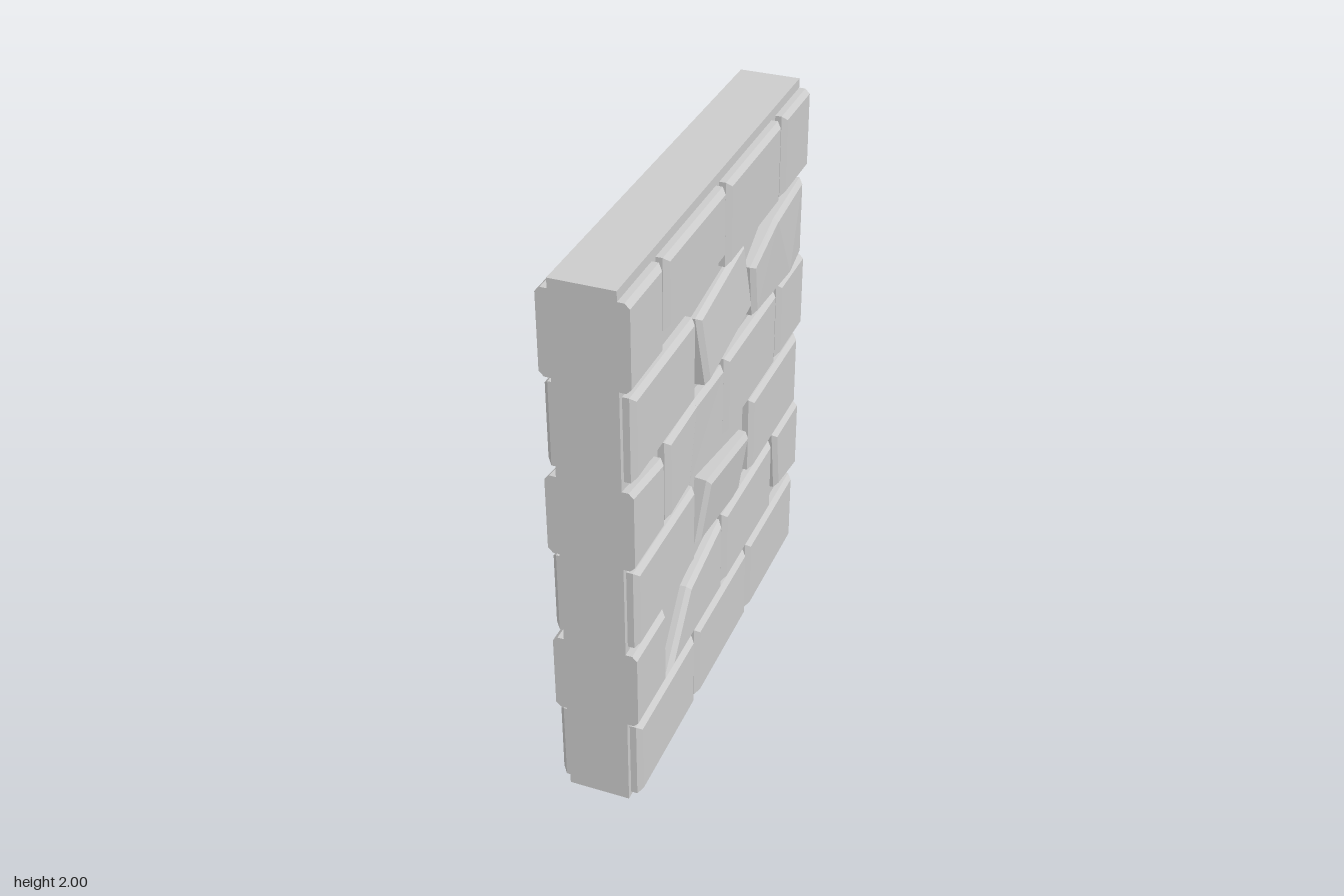
import * as THREE from 'three';

const END = 0.82;      // half length of the wall
const FACE = 0.15;     // half thickness over the brick faces
const BEVEL = 0.017;

const material = new THREE.MeshStandardMaterial({ color: 0xcccccc, flatShading: true });

// Corners [z, y] of a rectangle, counter-clockwise seen from +x
const rect = (z0, z1, y0, y1) => [[z0, y0], [z1, y0], [z1, y1], [z0, y1]];

// Moves each edge inward by the bevel, except cracks and edges flush with the wall end
function inset(pts, crack) {
  const n = pts.length;
  const edges = pts.map(([z, y], i) => {
    const [z2, y2] = pts[(i + 1) % n];
    const len = Math.hypot(z2 - z, y2 - y);
    const flush = Math.abs(z) === END && z === z2;
    return { nz: (y2 - y) / len, ny: (z - z2) / len, d: flush || i === crack ? 0 : BEVEL };
  });
  return pts.map(([z, y], i) => {
    const a = edges[(i + n - 1) % n], b = edges[i];
    const det = a.nz * b.ny - a.ny * b.nz;
    return [z + (a.d * b.ny - b.d * a.ny) / det, y + (a.nz * b.d - b.nz * a.d) / det];
  });
}

// Convex block running through the wall, bevelled on both faces.
// The corners of a crack edge can be pushed outward by lift.
function brickGeometry(pts, crack = -1, lift = 0) {
  const n = pts.length;
  const inner = inset(pts, crack);
  const onCrack = i => crack >= 0 && (i === crack || i === (crack + 1) % n);
  const ring = (outline, x) => outline.map(([z, y], i) =>
    [x + Math.sign(x) * (onCrack(i) ? lift : 0), y, z]);
  const rings = [
    ring(inner, -FACE), ring(pts, BEVEL - FACE), ring(pts, FACE - BEVEL), ring(inner, FACE),
  ];
  const pos = [];
  const tri = (a, b, c) => pos.push(...a, ...b, ...c);
  for (let k = 0; k < 3; k++) {
    for (let i = 0; i < n; i++) {
      const j = (i + 1) % n, p = rings[k], q = rings[k + 1];
      tri(p[i], p[j], q[j]);
      tri(p[i], q[j], q[i]);
    }
  }
  for (let i = 1; i < n - 1; i++) {
    tri(rings[3][0], rings[3][i], rings[3][i + 1]);
    tri(rings[0][0], rings[0][i + 1], rings[0][i]);
  }
  const g = new THREE.BufferGeometry();
  g.setAttribute('position', new THREE.Float32BufferAttribute(pos, 3));
  g.computeVertexNormals();
  return g;
}

export function createModel() {
  const wall = new THREE.Group();
  wall.name = 'brickWall';

  const add = (name, geometry) => {
    const mesh = new THREE.Mesh(geometry, material);
    mesh.name = name;
    wall.add(mesh);
    return mesh;
  };

  // Mortar slab
  add('mortarCore', new THREE.BoxGeometry(0.22, 2, END * 2)).position.y = 1;

  // Whole bricks: [z from, z to, y from, y to]
  const whole = [
    // bottom course
    [0.8, 0.29, 0.015, 0.32], [0.26, -0.25, 0.015, 0.32], [-0.28, -0.79, 0.015, 0.32],
    // second course
    [END, 0.56, 0.345, 0.648], [-0.01, -0.52, 0.345, 0.648],
    // third course
    [0.8, 0.29, 0.67, 0.975], [-0.28, -0.79, 0.67, 0.975],
    // fourth course
    [-0.01, -0.52, 1.0, 1.305], [-0.56, -END, 1.0, 1.305],
    // fifth course
    [0.8, 0.29, 1.325, 1.632],
    // top course
    [END, 0.56, 1.66, 1.965], [0.53, 0.02, 1.715, 1.965],
    [-0.01, -0.52, 1.66, 1.965], [-0.56, -END, 1.66, 1.965],
  ];
  for (const b of whole) add('brick', brickGeometry(rect(...b)));

  // Bricks with broken corners
  add('brokenBrick', brickGeometry([[0.53, 0.345], [0.02, 0.345], [0.02, 0.65], [0.34, 0.58]]));
  add('slantedHalfBrick', brickGeometry([[-0.6, 0.378], [-END, 0.345], [-END, 0.648], [-0.56, 0.648]]));
  add('chippedHalfBrick', brickGeometry([[END, 1.0], [0.56, 1.0], [0.56, 1.265], [END, 1.3]]));

  // Brick cracked in two
  add('crackedBrickHalf', brickGeometry([[0.53, 1.0], [0.36, 1.018], [0.29, 1.315], [0.53, 1.303]], 1, 0.002));
  add('crackedBrickHalf', brickGeometry([[0.36, 1.015], [0.02, 0.997], [0.02, 1.3], [0.29, 1.315]], 3, 0.002));

  // Brick snapped and bulging along its crack
  add('bulgingBrickHalf', brickGeometry([[-0.29, 1.325], [-0.62, 1.325], [-0.45, 1.633], [-0.26, 1.53]], 1, 0.017));
  add('bulgingBrickHalf', brickGeometry([[-0.62, 1.325], [-0.79, 1.33], [-0.79, 1.633], [-0.45, 1.633]], 3, 0.017));

  // Loose bricks twisted in their sockets: centre y, height, rotation
  const loose = [
    [0.795, 0.25, -0.18, 0.035, -0.1],
    [1.485, 0.27, 0.13, 0.02, 0.08],
  ];
  for (const [y, h, rx, ry, rz] of loose) {
    const mesh = add('looseBrick', brickGeometry(rect(0.227, -0.227, -h / 2, h / 2)));
    mesh.position.set(0, y, 0.003);
    mesh.rotation.set(rx, ry, rz);
  }
  return wall;
}
